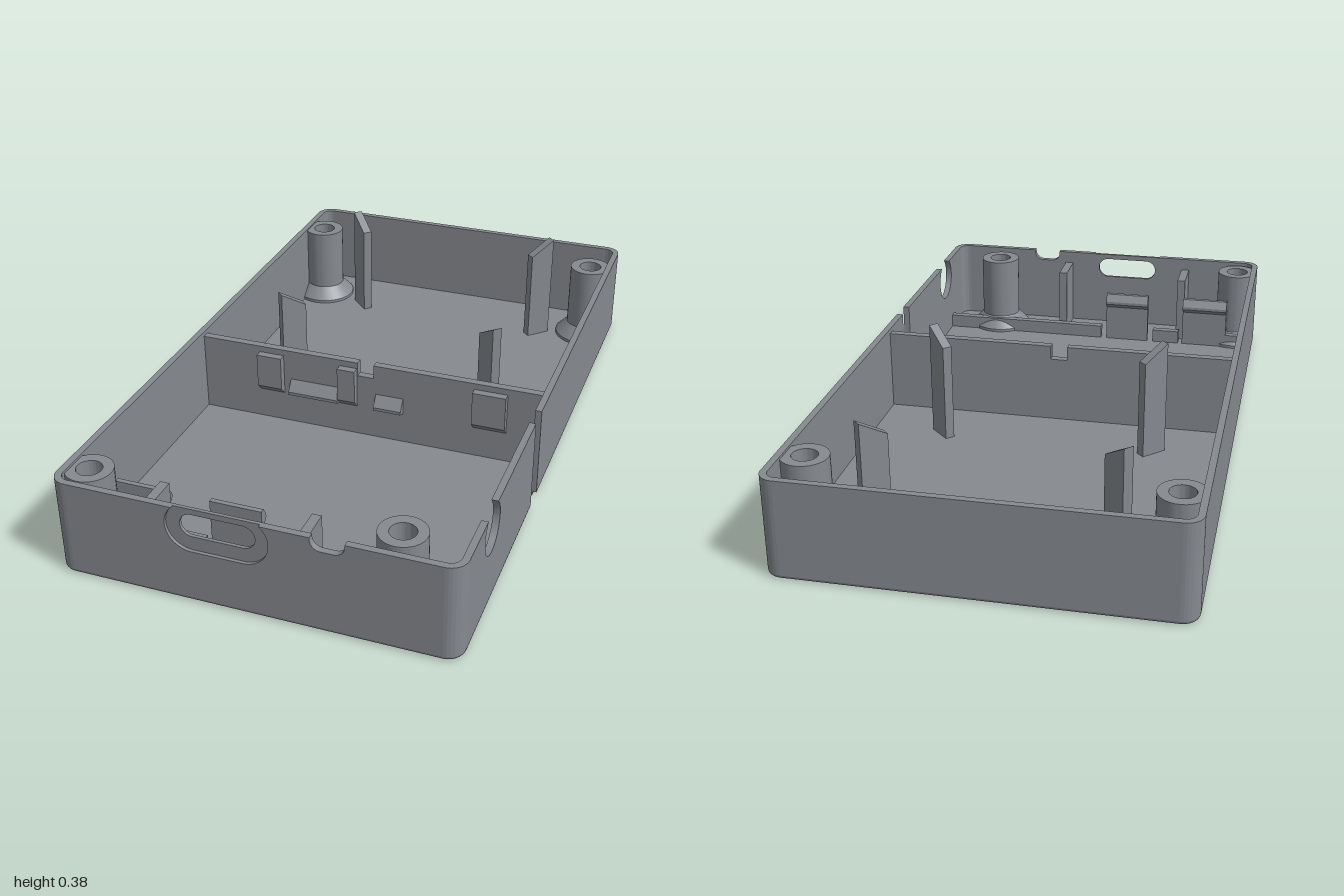
import * as THREE from 'three';
import { toCreasedNormals } from 'three/addons/utils/BufferGeometryUtils.js';

const W = 0.58, D = 1, H = 0.295, T = 0.02, R = 0.05, FILLET = 0.012, FLOOR = 0.025;
const SLOT = [0.21, 0.28]; // cable slot in the +x wall, along z
const POSTS = [[-0.51, -0.83], [0.505, -0.83], [-0.51, 0.9], [0.385, 0.885]];

export function createModel() {
  const group = new THREE.Group();
  const grey = new THREE.MeshStandardMaterial({ color: 0x868a90 });
  grey.name = 'grey plastic';

  function add(name, geometry) {
    const mesh = new THREE.Mesh(toCreasedNormals(geometry, 0.5), grey);
    mesh.name = name;
    group.add(mesh);
    return mesh;
  }
  const poly = (pts) => new THREE.Shape(pts.map(([x, y]) => new THREE.Vector2(x, y)));
  const extrude = (shape, depth) =>
    new THREE.ExtrudeGeometry(shape, { depth, bevelEnabled: false, curveSegments: 20 });
  // shape drawn in (x, y), running from z0 to z1
  const alongZ = (name, shape, z0, z1) => add(name, extrude(shape, z1 - z0).translate(0, 0, z0));
  // shape drawn in (z, y), running from x0 to x1
  const alongX = (name, shape, x0, x1) =>
    add(name, extrude(shape, x1 - x0).rotateY(-Math.PI / 2).translate(x1, 0, 0));
  function box(name, x0, x1, y0, y1, z0, z1) {
    add(name, new THREE.BoxGeometry(x1 - x0, y1 - y0, z1 - z0)
      .translate((x0 + x1) / 2, (y0 + y1) / 2, (z0 + z1) / 2));
  }

  // Rounded outline in (x, z), open at the cable slot
  function outline(inset) {
    const pts = [[W - inset, SLOT[1]]];
    [[1, 1], [-1, 1], [-1, -1], [1, -1]].forEach(([sx, sz], k) => {
      for (let i = 0; i <= 8; i++) {
        const a = (k + i / 8) * Math.PI / 2;
        pts.push([sx * (W - R) + (R - inset) * Math.cos(a), sz * (D - R) + (R - inset) * Math.sin(a)]);
      }
    });
    pts.push([W - inset, SLOT[0]]);
    return pts;
  }

  // Floor with screw holes and the slot cut
  const floor = poly([...outline(FILLET), [0.535, SLOT[0]], [0.535, SLOT[1]]].map(([x, z]) => [x, -z]));
  for (const [x, z] of POSTS) {
    floor.holes.push(new THREE.Path().absarc(x, -z, 0.055, 0, Math.PI * 2, true));
  }
  add('floor', extrude(floor, FLOOR).rotateX(-Math.PI / 2));

  // Rounded bottom edge
  const pos = [], idx = [], steps = 4;
  let n = 0;
  for (let i = 0; i <= steps; i++) {
    const a = i / steps * Math.PI / 2;
    const ring = outline(FILLET * (1 - Math.sin(a)));
    n = ring.length;
    for (const [x, z] of ring) pos.push(x, FILLET * (1 - Math.cos(a)), z);
  }
  for (let i = 0; i < steps; i++) {
    for (let j = 0; j < n - 1; j++) {
      const a = i * n + j, b = a + 1, c = a + n, d = c + 1;
      idx.push(a, c, b, b, c, d);
    }
  }
  const edge = new THREE.BufferGeometry();
  edge.setAttribute('position', new THREE.Float32BufferAttribute(pos, 3));
  edge.setIndex(idx);
  add('bottomEdge', edge);

  // Rounded wall corners
  [[1, -1], [-1, -1], [-1, 1], [1, 1]].forEach(([sx, sz], k) => {
    const s = new THREE.Shape().absarc(0, 0, R, 0, Math.PI / 2, false);
    s.absarc(0, 0, R - T, Math.PI / 2, 0, true);
    add('wallCorner', extrude(s, H - FILLET).rotateX(-Math.PI / 2).rotateY(k * Math.PI / 2)
      .translate(sx * (W - R), FILLET, sz * (D - R)));
  });

  // Front wall in two layers: the outer one has the socket recess
  const fx = W - R;
  function frontShape(recess) {
    const s = new THREE.Shape();
    s.moveTo(-fx, FILLET).lineTo(fx, FILLET).lineTo(fx, H).lineTo(0.27, H);
    s.absarc(0.24, 0.288, 0.03, 0, -Math.PI / 2, true);
    s.absarc(0.205, 0.288, 0.03, -Math.PI / 2, -Math.PI, true);
    s.lineTo(0.175, H);
    if (recess) {
      const a = Math.asin((H - 0.24) / 0.075);
      s.absarc(-0.015, 0.24, 0.075, a, -Math.PI / 2, true);
      s.absarc(-0.16, 0.24, 0.075, -Math.PI / 2, -Math.PI - a, true);
    } else {
      const h = new THREE.Path();
      h.absarc(-0.015, 0.2425, 0.035, Math.PI / 2, -Math.PI / 2, true);
      h.absarc(-0.16, 0.2425, 0.035, -Math.PI / 2, -Math.PI * 1.5, true);
      s.holes.push(h);
    }
    s.lineTo(-fx, H);
    return s;
  }
  alongZ('frontWallOuter', frontShape(true), D - T / 2, D);
  alongZ('frontWallInner', frontShape(false), D - T, D - T / 2);
  box('backWall', -fx, fx, FILLET, H, -D, -D + T);

  // Side walls: plain on one side, slot and round cutout on the other
  const fz = D - R;
  box('rightWall', -W, -W + T, FILLET, H, -fz, fz);
  box('leftWallBack', W - T, W, FILLET, H, -fz, SLOT[0]);
  const cut = new THREE.Shape();
  const ca = Math.asin((H - 0.24) / 0.073);
  cut.moveTo(SLOT[1], FILLET).lineTo(fz, FILLET).lineTo(fz, H);
  cut.absarc(0.735, 0.24, 0.073, ca, -Math.PI - ca, true);
  cut.lineTo(SLOT[1], H);
  alongX('leftWallFront', cut, W - T, W);

  // Screw posts with flared feet, trimmed to stay inside the walls
  const profile = [[0.106, 0.02], [0.106, 0.035], [0.068, 0.075], [0.068, 0.288],
    [0.037, 0.288], [0.037, 0.045], [0.055, 0.045], [0.055, 0]];
  for (const [px, pz] of POSTS) {
    const g = new THREE.LatheGeometry(profile.map((p) => new THREE.Vector2(...p)), 48).translate(px, 0, pz);
    const p = g.attributes.position;
    for (let i = 0; i < p.count; i++) {
      const x = p.getX(i), z = p.getZ(i);
      const cx = THREE.MathUtils.clamp(x, -fx, fx), cz = THREE.MathUtils.clamp(z, -fz, fz);
      const d = Math.hypot(x - cx, z - cz), k = d > 0.04 ? 0.04 / d : 1;
      p.setXYZ(i, cx + (x - cx) * k, p.getY(i), cz + (z - cz) * k);
    }
    add('screwPost', g);
  }

  // Diagonal locating ribs, tall at the outer end
  for (const sx of [-1, 1]) {
    for (const sz of [-1, 1]) {
      const g = extrude(poly([[-0.042, 0.02], [0.042, 0.02], [0.042, 0.385], [-0.042, 0.335]]), 0.03);
      g.translate(0, 0, -0.015).rotateY(Math.atan2(-sz, sx));
      add('locatingRib', g.translate(sx * 0.335, 0, -0.44 + sz * 0.333));
    }
  }

  // Divider with a wire notch, upper tabs and lower ledges
  const wx = W - T / 2;
  alongZ('divider', poly([[-wx, 0.02], [wx, 0.02], [wx, 0.28], [0.02, 0.28], [0.02, 0.235],
    [-0.033, 0.235], [-0.033, 0.28], [-wx, 0.28]]), 0.07, 0.095);
  const tab = poly([[0.09, 0.12], [0.12, 0.15], [0.12, 0.26], [0.09, 0.26]]);
  for (const [a, b] of [[-0.365, -0.283], [-0.093, -0.035], [0.345, 0.45]]) alongX('dividerTab', tab, a, b);
  const ledge = poly([[0.09, 0.125], [0.12, 0.135], [0.12, 0.145], [0.095, 0.18], [0.09, 0.18]]);
  for (const [a, b] of [[-0.26, -0.093], [0.027, 0.117]]) alongX('dividerLedge', ledge, a, b);

  // Low front partition in sections, with snap clips in the gaps
  for (const [a, b] of [[-wx, -0.325], [-0.31, -0.215], [-0.02, wx]]) {
    box('lowPartition', a, b, 0.02, 0.07, 0.805, 0.83);
  }
  const clip = poly([[0.805, 0.02], [0.82, 0.02], [0.82, 0.2], [0.805, 0.2], [0.79, 0.175],
    [0.79, 0.165], [0.805, 0.15]]);
  for (const [a, b] of [[-0.485, -0.325], [-0.195, -0.04]]) alongX('snapClip', clip, a, b);

  // Upright ribs behind the front wall
  for (const x of [-0.31, 0.135]) box('frontRib', x - 0.014, x + 0.014, 0.02, 0.255, 0.85, 0.975);

  return group;
}
